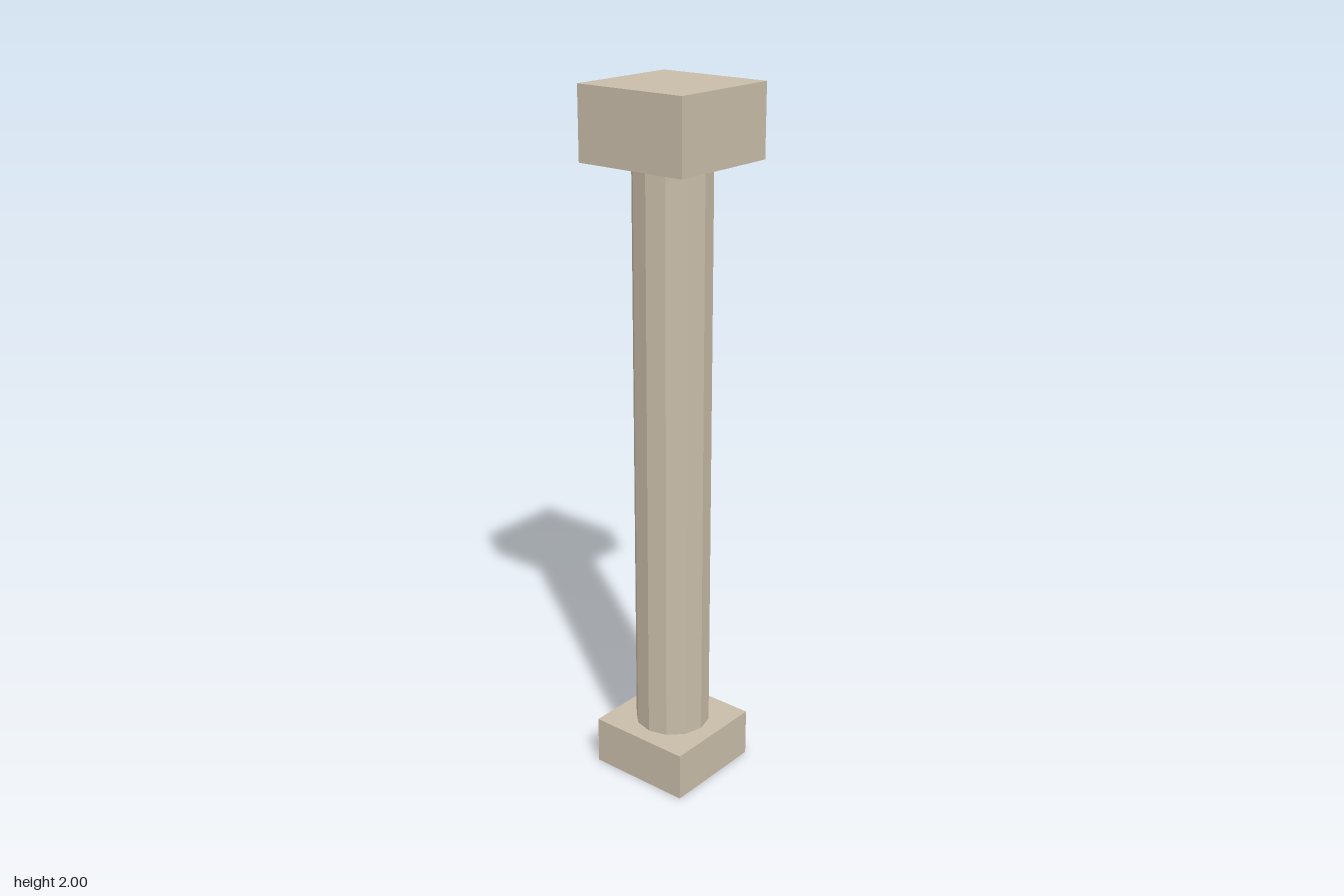
import * as THREE from 'three';

export function createModel() {
  const model = new THREE.Group();
  model.name = 'column';
  const stone = new THREE.MeshStandardMaterial({ color: 0xc8bca8, flatShading: true });

  const add = (name, geometry, y) => {
    const mesh = new THREE.Mesh(geometry, stone);
    mesh.name = name;
    mesh.position.y = y;
    model.add(mesh);
  };

  const baseHeight = 0.142, capitalHeight = 0.2, height = 2;
  const shaftHeight = height - baseHeight - capitalHeight;

  // Square plinth, twelve-sided shaft and square capital
  add('base', new THREE.BoxGeometry(0.314, baseHeight, 0.314), baseHeight / 2);
  add('shaft', new THREE.CylinderGeometry(0.109, 0.109, shaftHeight, 12), baseHeight + shaftHeight / 2);
  add('capital', new THREE.BoxGeometry(0.342, capitalHeight, 0.342), height - capitalHeight / 2);

  return model;
}
